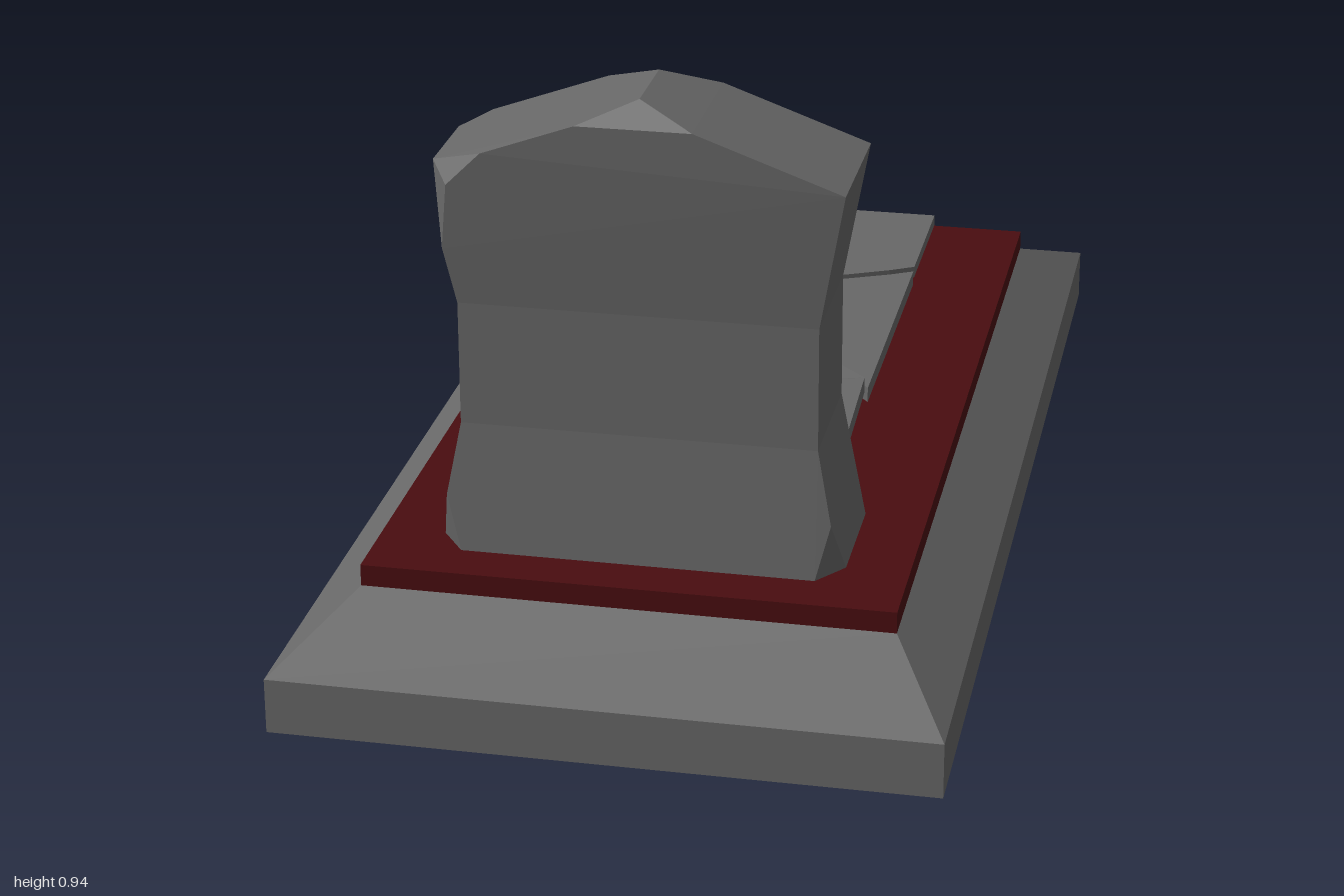
import * as THREE from 'three';
import { ConvexGeometry } from 'three/addons/geometries/ConvexGeometry.js';

export function createModel() {
  const root = new THREE.Group();
  root.name = 'grave';
  const stone = new THREE.MeshStandardMaterial({ color: 0x676767 });
  stone.name = 'grey stone';
  const soil = new THREE.MeshStandardMaterial({ color: 0x490d10 });
  soil.name = 'dark red bed';

  const add = (name, geometry, material, parent = root) => {
    const mesh = new THREE.Mesh(geometry, material);
    mesh.name = name;
    parent.add(mesh);
    return mesh;
  };
  const hull = (points) => new ConvexGeometry(points.map((p) => new THREE.Vector3(...p)));
  const rect = (x, y, z) => [[x, y, z], [-x, y, z], [-x, y, -z], [x, y, -z]];

  // Plinth with sloping shoulders, and the bed on top
  add('plinth', hull([...rect(0.52, 0, 1), ...rect(0.52, 0.09, 1), ...rect(0.42, 0.165, 0.81)]), stone);
  const bed = add('bed', new THREE.BoxGeometry(0.84, 0.036, 1.62), soil);
  bed.position.y = 0.182;

  // Headstone: three stacked convex blocks with a narrow waist and chipped corners
  const headstone = new THREE.Group();
  headstone.name = 'headstone';
  root.add(headstone);
  const waist = (y) => [
    [0.28, y, 0.71], [-0.28, y, 0.71], [0.28, y, 0.488],
    [-0.245, y, 0.488], [-0.28, y, 0.525],
  ];
  const foot = [];
  for (const s of [-1, 1]) {
    foot.push([s * 0.28, 0.2, 0.73], [s * 0.32, 0.2, 0.675], [s * 0.303, 0.29, 0.721]);
  }
  foot.push([0.32, 0.2, 0.48], [-0.27, 0.2, 0.48], [-0.32, 0.2, 0.53]);
  add('headstoneFoot', hull([...foot, ...waist(0.41)]), stone, headstone);
  add('headstoneWaist', hull([...waist(0.41), ...waist(0.61)]), stone, headstone);
  const crown = [
    [0.32, 0.83, 0.725], [0.32, 0.83, 0.485],
    // chipped shoulder
    [-0.235, 0.86, 0.725], [-0.29, 0.805, 0.722], [-0.32, 0.83, 0.68], [-0.3, 0.7, 0.716],
    [-0.275, 0.846, 0.485], [-0.32, 0.83, 0.53],
    // worn ridge
    [0, 0.945, 0.675], [0, 0.945, 0.535],
  ];
  for (const s of [-1, 1]) {
    crown.push([s * 0.09, 0.913, 0.725], [s * 0.09, 0.913, 0.485]);
  }
  add('headstoneCrown', hull([...waist(0.61), ...crown]), stone, headstone);

  // Raised panel on the back of the headstone
  const outline = [
    [0.245, 0.2], [0.215, 0.41], [0.215, 0.59], [0.245, 0.74], [0, 0.825],
    [-0.2, 0.755], [-0.235, 0.72], [-0.205, 0.59], [-0.21, 0.41], [-0.24, 0.2],
  ];
  const panel = add('backPanel', new THREE.ExtrudeGeometry(
    new THREE.Shape(outline.map(([x, y]) => new THREE.Vector2(x, y))),
    { depth: 0.04, bevelEnabled: false }), stone, headstone);
  panel.position.z = 0.466;

  // Cracked slab: each piece is an outline of [x, z, lift], with a bottom and top height
  const slab = new THREE.Group();
  slab.name = 'crackedSlab';
  root.add(slab);
  const piece = (name, bottom, top, points) => {
    const shape = new THREE.Shape(points.map(([x, z]) => new THREE.Vector2(x, -z)));
    const geometry = new THREE.ExtrudeGeometry(shape, { depth: top - bottom, bevelEnabled: false });
    geometry.rotateX(-Math.PI / 2);
    geometry.translate(0, bottom, 0);
    const pos = geometry.attributes.position;
    for (let i = 0; i < pos.count; i++) {
      const corner = points.find(([x, z]) => Math.hypot(x - pos.getX(i), z - pos.getZ(i)) < 1e-4);
      if (corner && corner[2]) pos.setY(i, pos.getY(i) + corner[2]);
    }
    geometry.computeVertexNormals();
    add(name, geometry, stone, slab);
  };
  piece('backLeftPiece', 0.228, 0.25, [
    [-0.265, -0.735], [-0.205, -0.735], [-0.14, -0.375], [-0.265, -0.335, -0.008],
  ]);
  piece('backRightPiece', 0.23, 0.25, [
    [-0.165, -0.735], [0.262, -0.735], [0.262, -0.465], [0.22, -0.44], [0.055, -0.36],
    [0.068, -0.62], [0.038, -0.35], [0.025, -0.335], [-0.04, -0.32], [-0.095, -0.31],
  ]);
  piece('grooveFloor', 0.23, 0.243, [[0.03, -0.34], [0.065, -0.63], [0.075, -0.62], [0.06, -0.35]]);
  piece('rightPiece', 0.22, 0.246, [
    [0.04, -0.345], [0.22, -0.428], [0.262, -0.452], [0.262, 0.09], [0.11, -0.092], [0.07, -0.08],
  ]);
  piece('frontPiece', 0.222, 0.25, [
    [-0.265, -0.3], [-0.13, -0.33], [-0.085, -0.03], [-0.01, 0.14], [-0.02, -0.06, 0.01],
    [0.07, -0.07, 0.026], [0.11, -0.082, 0.026], [0.26, 0.115, 0.026], [0.26, 0.28, 0.004], [-0.265, 0.28, 0.004],
  ]);
  piece('shard', 0.22, 0.246, [
    [-0.13, -0.315], [-0.04, -0.32], [-0.02, -0.06], [-0.01, 0.14], [-0.085, -0.03],
  ]);
  piece('middlePiece', 0.22, 0.248, [
    [-0.04, -0.32], [0.035, -0.34], [0.07, -0.075], [-0.02, -0.06],
  ]);

  return root;
}
